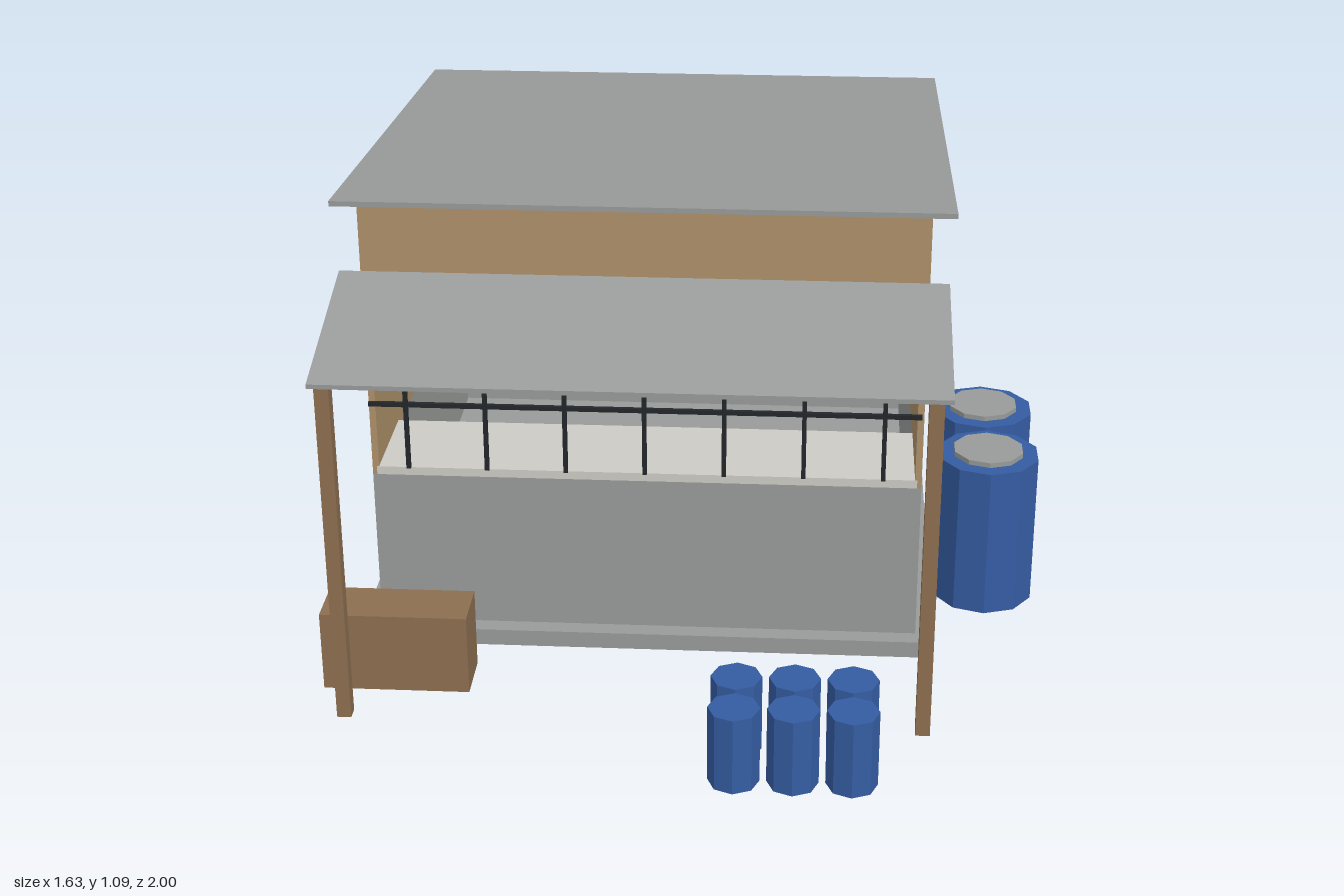
import * as THREE from 'three';

const mat = (name, color) => {
  const m = new THREE.MeshStandardMaterial({ color });
  m.name = name;
  return m;
};

export function createModel() {
  const grey = mat('concrete grey', 0x989b99);
  const tan = mat('wall tan', 0xad9069);
  const brown = mat('wood brown', 0x8c6e50);
  const blue = mat('barrel blue', 0x355ca2);
  const dark = mat('bar black', 0x23272b);
  const cream = mat('counter white', 0xcccbc5);
  const yellow = mat('goods yellow', 0xcfa738);
  const red = mat('goods red', 0xae463e);

  const model = new THREE.Group();
  model.name = 'shop';

  const add = (name, geometry, material, parent = model) => {
    const mesh = new THREE.Mesh(geometry, material);
    mesh.name = name;
    parent.add(mesh);
    return mesh;
  };
  const group = (name) => {
    const g = new THREE.Group();
    g.name = name;
    model.add(g);
    return g;
  };
  // Box given by its extents on each axis
  const box = (name, material, x0, x1, y0, y1, z0, z1, parent) => {
    const g = new THREE.BoxGeometry(x1 - x0, y1 - y0, z1 - z0);
    g.translate((x0 + x1) / 2, (y0 + y1) / 2, (z0 + z1) / 2);
    return add(name, g, material, parent);
  };
  // Side profile of [z, y] points, extruded from x0 to x1
  const profile = (name, material, points, x0, x1, parent) => {
    const shape = new THREE.Shape(points.map(([z, y]) => new THREE.Vector2(-z, y)));
    const g = new THREE.ExtrudeGeometry(shape, { depth: x1 - x0, bevelEnabled: false });
    g.rotateY(Math.PI / 2).translate(x0, 0, 0);
    return add(name, g, material, parent);
  };
  // Faceted upright drum standing at y
  const drum = (name, material, r, h, sides, x, y, z, parent) => {
    const g = new THREE.CylinderGeometry(r, r, h, sides).toNonIndexed();
    g.computeVertexNormals();
    g.translate(x, y + h / 2, z);
    return add(name, g, material, parent);
  };

  const L = -0.73, R = 0.53, F = 0.375, B = -0.895, T = 0.015;
  const SILL = 0.42;

  // Floor slab and lower walls
  box('floorSlab', grey, -0.77, 0.57, 0, 0.04, -0.93, 0.417);
  const lower = group('lowerWalls');
  box('lowerFrontWall', grey, L, R, 0.04, SILL, F - T, F, lower);
  box('lowerBackWall', grey, L, R, 0.04, SILL, B, B + T, lower);
  box('lowerLeftWall', grey, R - T, R, 0.04, SILL, B + T, F - T, lower);
  box('lowerRightWall', grey, L, L + T, 0.04, SILL, B + T, F - T, lower);

  // Upper walls: sloping sides, inset back, and header above the opening
  const upper = group('upperWalls');
  const side = [[F - T, SILL], [F - T, 1.078], [B, 0.974], [B, SILL]];
  profile('upperLeftWall', tan, side, R - T, R, upper);
  profile('upperRightWall', tan, side, L, L + T, upper);
  box('upperBackWall', tan, L + T, R - T, SILL, 0.975, B + 0.01, B + 0.025, upper);
  box('frontHeader', tan, L, R, 0.87, 1.078, F - T, F, upper);
  box('leftJamb', tan, R - T, R, SILL, 0.87, F - T, F, upper);
  box('rightJamb', tan, L, L + T, SILL, 0.87, F - T, F, upper);

  // Sloping roof and awning
  profile('roof', grey, [[0.395, 1.08], [0.395, 1.092], [-1, 0.977], [-1, 0.965]], -0.787, 0.583);
  profile('awning', grey, [[0.755, 0.805], [0.755, 0.815], [F, 0.922], [F, 0.912]], -0.778, 0.573);

  // Awning posts
  for (const x of [-0.748, 0.538])
    box('awningPost', brown, x - 0.016, x + 0.016, 0, 0.807, 0.718, 0.75);

  // Side door
  box('door', brown, R, R + 0.009, 0.04, 0.825, -0.67, -0.355);

  // Serving counter
  box('counter', cream, -0.72, 0.52, SILL, 0.44, 0.125, F + 0.001);

  // Shelves stocked with goods
  const shelves = group('stockedShelves');
  const goods = [yellow, red, cream, yellow, red, yellow];
  for (const y of [0.575, 0.724]) {
    box('shelf', brown, -0.715, 0.512, y, y + 0.012, 0.06, 0.2, shelves);
    goods.forEach((m, i) => {
      const x = -0.63 + i * 0.211;
      box('goodsBox', m, x - 0.063, x + 0.063, y + 0.012, y + 0.105, 0.08, 0.18, shelves);
    });
  }

  // Security bars across the opening
  const bars = group('windowBars');
  for (let i = 0; i < 7; i++) {
    const x = -0.645 + i * 0.1812;
    box('verticalBar', dark, x - 0.005, x + 0.005, 0.44, 0.87, F - 0.001, F + 0.009, bars);
  }
  for (const y of [0.6, 0.75])
    box('horizontalBar', dark, L, R - 0.005, y - 0.005, y + 0.005, F - 0.001, F + 0.009, bars);

  // Wooden crate beside the shop front
  box('crate', brown, -0.818, -0.485, 0, 0.19, 0.502, 0.63);

  // Large water barrels with lids
  for (const z of [0.078, -0.183]) {
    const barrel = group('waterBarrel');
    drum('barrelBody', blue, 0.123, 0.372, 10, 0.7, 0, z, barrel);
    drum('barrelLid', grey, 0.085, 0.012, 10, 0.7, 0.372, z, barrel);
  }

  // Small drums in two rows
  for (const z of [0.944, 0.819])
    for (const x of [0.13, 0.256, 0.382])
      drum('smallDrum', blue, 0.056, 0.18, 8, x, 0, z);

  return model;
}
